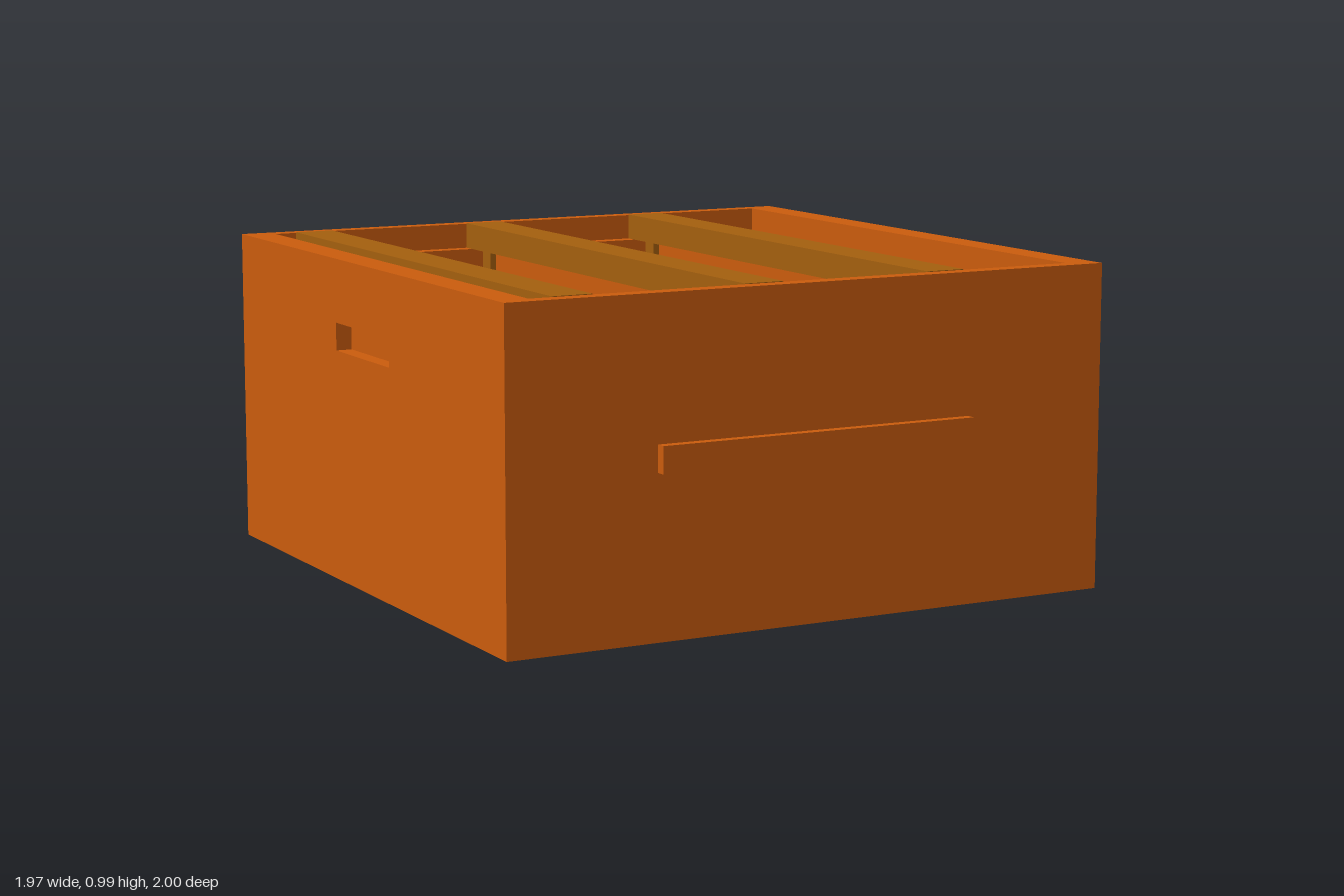
import * as THREE from 'three';

const mat = (color) => new THREE.MeshStandardMaterial({ color, flatShading: true });

export function createModel() {
  const model = new THREE.Group();
  const paint = mat(0xcb5c0d), wood = mat(0xa45f0e), wax = mat(0xdc9c16);

  function add(parent, name, geometry, material) {
    const mesh = new THREE.Mesh(geometry, material);
    mesh.name = name;
    parent.add(mesh);
    return mesh;
  }

  // Box given by its limits on each axis
  function block(parent, name, material, [x0, x1], [y0, y1], [z0, z1]) {
    const g = new THREE.BoxGeometry(x1 - x0, y1 - y0, z1 - z0);
    g.translate((x0 + x1) / 2, (y0 + y1) / 2, (z0 + z1) / 2);
    return add(parent, name, g, material);
  }

  function rectangle(Type, x0, x1, y0, y1) {
    return new Type([[x0, y0], [x1, y0], [x1, y1], [x0, y1]].map((p) => new THREE.Vector2(...p)));
  }

  // Plate drawn in the (-z, y) plane and extruded along +x
  function sidePlate(shape, depth) {
    return new THREE.ExtrudeGeometry(shape, { depth, bevelEnabled: false }).rotateY(Math.PI / 2);
  }

  const H = 0.99, W = 0.985, IN = 0.888, LEDGE = 0.91;

  // Crate: floor, end walls with a ledge for the frames, and a front grip
  const crate = new THREE.Group();
  crate.name = 'crate';
  model.add(crate);
  block(crate, 'floor', paint, [-IN, IN], [0, 0.05], [-0.905, 0.87]);
  block(crate, 'backWall', paint, [-IN, IN], [0, LEDGE], [-1, -0.905]);
  block(crate, 'backRim', paint, [-IN, IN], [LEDGE, H], [-1, -0.95]);
  block(crate, 'frontWall', paint, [-IN, IN], [0, LEDGE], [0.87, 0.97]);
  block(crate, 'frontRim', paint, [-IN, IN], [LEDGE, H], [0.92, 0.97]);
  block(crate, 'frontGrip', paint, [-0.515, 0.515], [0.485, 0.565], [0.97, 1]);

  // Side walls, each with a recessed handhold
  for (const side of [-1, 1]) {
    const outer = rectangle(THREE.Shape, -0.97, 1, 0, H);
    outer.holes.push(rectangle(THREE.Path, -0.185, 0.215, 0.71, 0.795));
    const plate = add(crate, 'handholdWall', sidePlate(outer, 0.05), paint);
    plate.position.x = side > 0 ? W - 0.05 : -W;
    const xs = [side * IN, side * (W - 0.05)].sort((a, b) => a - b);
    block(crate, 'innerSideWall', paint, xs, [0, H], [-1, 0.97]);
  }

  // Comb: sheet of hexagonal cells, with pegs where they pass the backing
  const Z = 0.8, Y0 = 0.16, Y1 = 0.9, PITCH = 0.1, R = 0.048;
  const comb = rectangle(THREE.Shape, -Z, Z, Y0, Y1);
  const centres = [];
  for (let row = 0; row < 8; row++) {
    const odd = row % 2;
    for (let col = 0; col < 15 - odd; col++) {
      centres.push([(col - 7 + odd / 2) * PITCH, Y0 + 0.066 + row * 0.0866]);
    }
  }
  for (const [cx, cy] of centres) {
    const hex = [];
    for (let k = 0; k < 6; k++) {
      const a = Math.PI / 6 + (k * Math.PI) / 3;
      hex.push(new THREE.Vector2(cx + R * Math.cos(a), cy + R * Math.sin(a)));
    }
    comb.holes.push(new THREE.Path(hex));
  }
  const combGeometry = sidePlate(comb, 0.045);
  const pegGeometry = new THREE.CylinderGeometry(0.018, 0.018, 0.02, 6).rotateZ(Math.PI / 2);

  // Hanging frames
  for (const x of [-0.755, -0.148, 0.462]) {
    const frame = new THREE.Group();
    frame.name = 'hangingFrame';
    frame.position.x = x;
    model.add(frame);
    block(frame, 'topBar', wood, [-0.063, 0.063], [LEDGE, H + 0.002], [-0.95, 0.92]);
    block(frame, 'bottomBar', wood, [-0.045, 0.045], [0.1, Y0], [-0.85, 0.82]);
    block(frame, 'backPost', wood, [-0.045, 0.045], [0.1, LEDGE], [-0.86, -Z]);
    block(frame, 'frontPost', wood, [-0.045, 0.045], [0.1, LEDGE], [Z, 0.83]);
    block(frame, 'combBacking', paint, [-0.025, -0.015], [Y0, LEDGE], [-Z, Z]);
    add(frame, 'comb', combGeometry, wax).position.x = -0.015;

    const pegs = new THREE.Group();
    pegs.name = 'combPegs';
    frame.add(pegs);
    for (const [cz, cy] of centres) {
      add(pegs, 'peg', pegGeometry, wood).position.set(-0.033, cy, -cz);
    }
  }
  return model;
}
